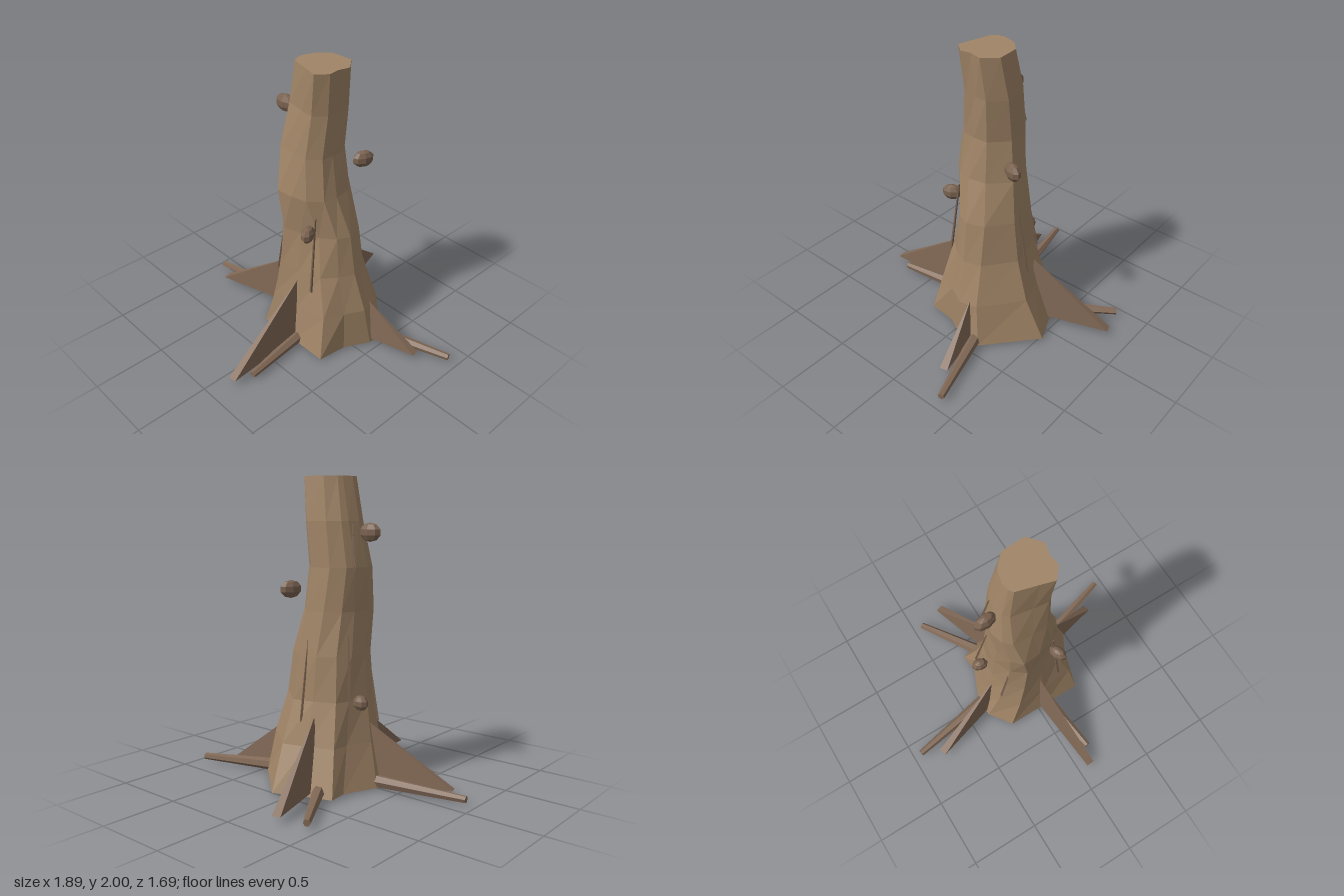
import * as THREE from 'three';
import { ConvexGeometry } from 'three/addons/geometries/ConvexGeometry.js';

const V = (x, y, z) => new THREE.Vector3(x, y, z);
const material = (color) => new THREE.MeshStandardMaterial({ color, flatShading: true });
const bark = material(0xa08466);
const rootBark = material(0x826956);
const knotBark = material(0x7a6250);

// Outlines of the flared foot, the waist and the cut top with matching corners,
// each as fractions [u, w] of the x and z range of its level
const FOOT = [[1, 0.54], [0.89, 0.75], [0.86, 1], [0.51, 1], [0.15, 1], [0.01, 0.8],
  [0, 0.62], [0.12, 0.34], [0.1, 0.18], [0.37, 0.09], [0.57, 0], [0.98, 0.37]];
const WAIST = [[1, 0.5], [0.93, 0.68], [0.75, 0.83], [0.5, 0.93], [0.28, 1], [0.1, 0.85],
  [0, 0.6], [0.03, 0.35], [0.12, 0.15], [0.35, 0.03], [0.62, 0], [0.92, 0.25]];
const CUT = [[0.94, 0.55], [0.97, 0.77], [0.79, 1], [0.52, 0.92], [0.09, 0.8], [0.03, 0.71],
  [0, 0.55], [0.06, 0.32], [0.11, 0.22], [0.3, 0.03], [0.76, 0], [1, 0.29]];

// Trunk levels: height, x range, z range
const LEVELS = [
  [0.01, -0.36, 0.45, -0.53, 0.27],
  [0.3, -0.29, 0.42, -0.4, 0.24],
  [0.58, -0.24, 0.34, -0.31, 0.22],
  [0.87, -0.22, 0.3, -0.27, 0.21],
  [1.15, -0.21, 0.22, -0.23, 0.25],
  [1.43, -0.225, 0.18, -0.2, 0.2],
  [1.72, -0.18, 0.19, -0.2, 0.15],
  [2.0, -0.12, 0.21, -0.17, 0.145],
];

function trunkGeometry() {
  const n = FOOT.length, last = LEVELS.length - 1, waist = 3;
  const { lerp } = THREE.MathUtils;
  const positions = [], index = [];
  LEVELS.forEach(([y, x0, x1, z0, z1], r) => {
    const [from, to, t] = r < waist
      ? [FOOT, WAIST, r / waist]
      : [WAIST, CUT, (r - waist) / (last - waist)];
    for (let i = 0; i < n; i++) {
      const u = lerp(from[i][0], to[i][0], t), w = lerp(from[i][1], to[i][1], t);
      positions.push(lerp(x0, x1, u), y, lerp(z0, z1, w));
    }
  });
  for (let r = 0; r < last; r++) {
    for (let i = 0; i < n; i++) {
      const a = r * n + i, b = r * n + (i + 1) % n;
      index.push(a, a + n, b, b, a + n, b + n);
    }
  }
  // Closed foot and cut top
  positions.push(0.04, 0.01, -0.08, 0.05, 2, -0.01);
  const base = (last + 1) * n;
  for (let i = 0; i < n; i++) {
    const j = (i + 1) % n;
    index.push(base, i, j, base + 1, last * n + j, last * n + i);
  }
  const g = new THREE.BufferGeometry();
  g.setAttribute('position', new THREE.Float32BufferAttribute(positions, 3));
  g.setIndex(index);
  const flat = g.toNonIndexed();
  flat.computeVertexNormals();
  return flat;
}

// Wedge-shaped fin running from a point on the trunk down to its outer tip
function buttress(apex, tip) {
  const out = V(tip.x - apex.x, 0, tip.z - apex.z).normalize();
  const side = V(-out.z, 0, out.x).multiplyScalar(0.028);
  const inner = V(apex.x, 0.03, apex.z).addScaledVector(out, -0.06);
  const top = apex.clone().addScaledVector(out, -0.04).setY(apex.y + 0.03);
  const pts = [top];
  for (const p of [inner, tip]) pts.push(p.clone().add(side), p.clone().sub(side));
  return new THREE.Mesh(new ConvexGeometry(pts), rootBark);
}

// Tapered rod between two points
function rod(from, to, r0, r1, sides, mat) {
  const dir = to.clone().sub(from);
  const mesh = new THREE.Mesh(new THREE.CylinderGeometry(r1, r0, dir.length(), sides), mat);
  mesh.position.copy(from).add(to).multiplyScalar(0.5);
  mesh.quaternion.setFromUnitVectors(V(0, 1, 0), dir.normalize());
  return mesh;
}

export function createModel() {
  const model = new THREE.Group();
  const add = (mesh, name) => { mesh.name = name; model.add(mesh); };

  add(new THREE.Mesh(trunkGeometry(), bark), 'trunk');

  // Buttress fins: apex on the trunk, outer tip
  [
    [V(0.04, 0.48, 0.22), V(0.095, 0.04, 0.84)],
    [V(-0.25, 0.42, 0.02), V(-0.8, 0.04, 0.185)],
    [V(0.42, 0.31, -0.14), V(0.76, 0.04, -0.22)],
    [V(-0.08, 0.46, -0.35), V(-0.24, 0.04, -0.84)],
  ].forEach(([apex, tip]) => add(buttress(apex, tip), 'buttressRoot'));

  // Long surface roots spreading from beneath the trunk
  [[0.15, 0.71], [-0.94, 0.105], [0.935, -0.36], [-0.43, -0.785]].forEach(([x, z]) =>
    add(rod(V(0.04, 0.05, -0.07), V(x, 0.036, z), 0.055, 0.023, 6, rootBark), 'surfaceRoot'));

  // Knots standing off the bark, long axis pointing outward
  [
    [-0.25, 1.65, 0.02, -1, 0.1, 0.08],
    [-0.275, 0.575, -0.1, -1, -0.2, 0.06],
    [0.16, 0.935, 0.215, 0.4, 0.9, 0.068],
    [0.15, 1.29, -0.285, 0.35, -0.9, 0.075],
  ].forEach(([x, y, z, dx, dz, length]) => {
    const knot = new THREE.Mesh(new THREE.SphereGeometry(1, 8, 5), knotBark);
    knot.scale.set(length, 0.022 + length * 0.48, 0.042);
    knot.rotation.y = Math.atan2(-dz, dx);
    knot.position.set(x, y, z);
    add(knot, 'knot');
  });

  // Thin peeling strips of bark
  [
    [V(0.16, 1.02, 0.15), V(0.185, 0.48, 0.215)],
    [V(-0.13, 1.0, 0.13), V(-0.24, 0.41, 0.13)],
    [V(-0.19, 1.0, -0.12), V(-0.26, 0.45, -0.19)],
    [V(0.04, 1.0, -0.24), V(0.03, 0.45, -0.33)],
    [V(-0.175, 1.7, -0.06), V(-0.21, 1.43, -0.1)],
  ].forEach(([top, bottom]) => add(rod(top, bottom, 0.006, 0.01, 4, knotBark), 'barkStrip'));

  return model;
}
